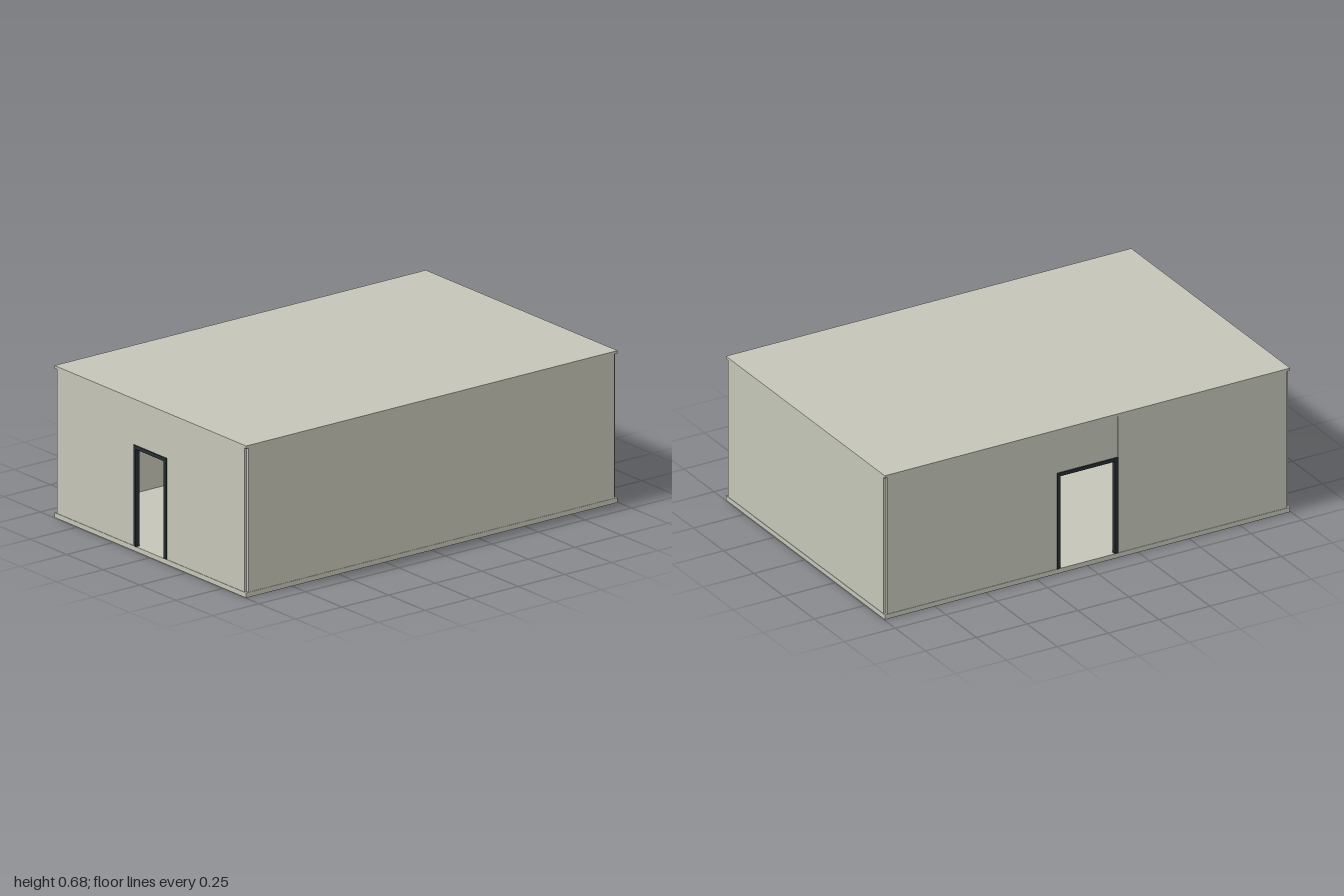
import * as THREE from 'three';

const material = (name, color) => {
  const m = new THREE.MeshStandardMaterial({ color });
  m.name = name;
  return m;
};

export function createModel() {
  const model = new THREE.Group();
  model.name = 'building';
  const stone = material('warm grey', 0xc4c5b7);
  const dark = material('charcoal', 0x252d31);

  // Box given by its lower and upper corners
  function box(name, [x0, y0, z0], [x1, y1, z1], mat, parent = model) {
    const mesh = new THREE.Mesh(new THREE.BoxGeometry(x1 - x0, y1 - y0, z1 - z0), mat);
    mesh.position.set((x0 + x1) / 2, (y0 + y1) / 2, (z0 + z1) / 2);
    mesh.name = name;
    parent.add(mesh);
    return mesh;
  }
  function cylinder(name, r, y0, y1, x, z, mat, parent = model) {
    const mesh = new THREE.Mesh(new THREE.CylinderGeometry(r, r, y1 - y0, 32), mat);
    mesh.position.set(x, (y0 + y1) / 2, z);
    mesh.name = name;
    parent.add(mesh);
  }

  const X = 0.997, Z = 0.658, T = 0.014;      // outer half sizes and wall thickness
  const FLOOR = 0.022, CEIL = 0.668, TOP = 0.68, DOOR = 0.475;

  // Floor and roof slabs
  box('floorSlab', [-X, 0, -Z], [X, FLOOR, Z], stone);
  box('roofSlab', [-X, CEIL, -Z], [X, TOP, Z], stone);

  // Closed walls, meeting at narrow open corner notches
  box('frontWall', [-X + T, FLOOR, Z - T], [X - T, CEIL, Z - 0.002], stone);
  box('leftWall', [X - T, FLOOR, -Z + T], [X - 0.002, CEIL, Z - T], stone);

  // Wall with a doorway, built along x and facing -z
  function doorWall(name, half, doorHalf) {
    const wall = new THREE.Group();
    wall.name = name;
    for (const s of [-1, 1]) {
      const [a, b] = [s * doorHalf, s * half].sort((p, q) => p - q);
      box('wallPanel', [a, FLOOR, 0.002], [b, CEIL, T], stone, wall);
      const [c, d] = [s * doorHalf, s * (doorHalf - 0.016)].sort((p, q) => p - q);
      box('doorJamb', [c, FLOOR, -0.003], [d, DOOR, T + 0.004], dark, wall);
    }
    box('wallAboveDoor', [-doorHalf, DOOR, 0.0025], [doorHalf, CEIL, T], stone, wall);
    box('doorHead', [-doorHalf + 0.016, DOOR - 0.016, -0.003], [doorHalf - 0.016, DOOR, T + 0.004], dark, wall);
    model.add(wall);
    return wall;
  }
  doorWall('backWall', X - T, 0.15).position.z = -Z;
  const side = doorWall('rightWall', Z - T, 0.112);
  side.rotation.y = Math.PI / 2;
  side.position.x = -X;

  // Low dark platform with a round column and a cabinet
  const island = new THREE.Group();
  island.name = 'island';
  model.add(island);
  box('platform', [0.21, FLOOR, -0.37], [0.66, 0.065, 0.1], dark, island);
  cylinder('columnBase', 0.085, 0.065, 0.078, 0.3, -0.25, stone, island);
  cylinder('column', 0.06, 0.078, 0.32, 0.3, -0.25, stone, island);
  box('cabinet', [0.22, 0.065, -0.06], [0.5, 0.16, 0.08], dark, island);
  box('cabinetPanel', [0.25, 0.09, -0.066], [0.47, 0.13, -0.06], stone, island);

  // Shelf rack with stored boxes beside the side door
  const rack = new THREE.Group();
  rack.name = 'shelfRack';
  model.add(rack);
  const [rx, rz, rd, rw] = [-0.86, 0.03, 0.14, 0.34];
  for (let i = 0; i < 4; i++) {
    const y = 0.05 + i * 0.095;
    box('shelf', [rx, y, rz], [rx + rd, y + 0.01, rz + rw], stone, rack);
    for (let j = 0; j < 3 && i < 3; j++) {
      const z = rz + 0.02 + j * 0.11;
      box('storedBox', [rx + 0.02, y + 0.01, z], [rx + rd - 0.02, y + 0.06, z + 0.08], stone, rack);
    }
  }
  for (const x of [rx, rx + rd - 0.01])
    for (const z of [rz - 0.01, rz + rw])
      box('rackPost', [x, FLOOR, z], [x + 0.01, 0.36, z + 0.01], dark, rack);

  // Bar lamp hanging from the ceiling
  const lamp = new THREE.Group();
  lamp.name = 'hangingLamp';
  model.add(lamp);
  box('lampBar', [-0.4, 0.475, -0.225], [0.1, 0.49, -0.195], stone, lamp);
  for (const x of [-0.36, 0.06]) cylinder('lampRod', 0.002, 0.49, CEIL, x, -0.21, dark, lamp);

  return model;
}
